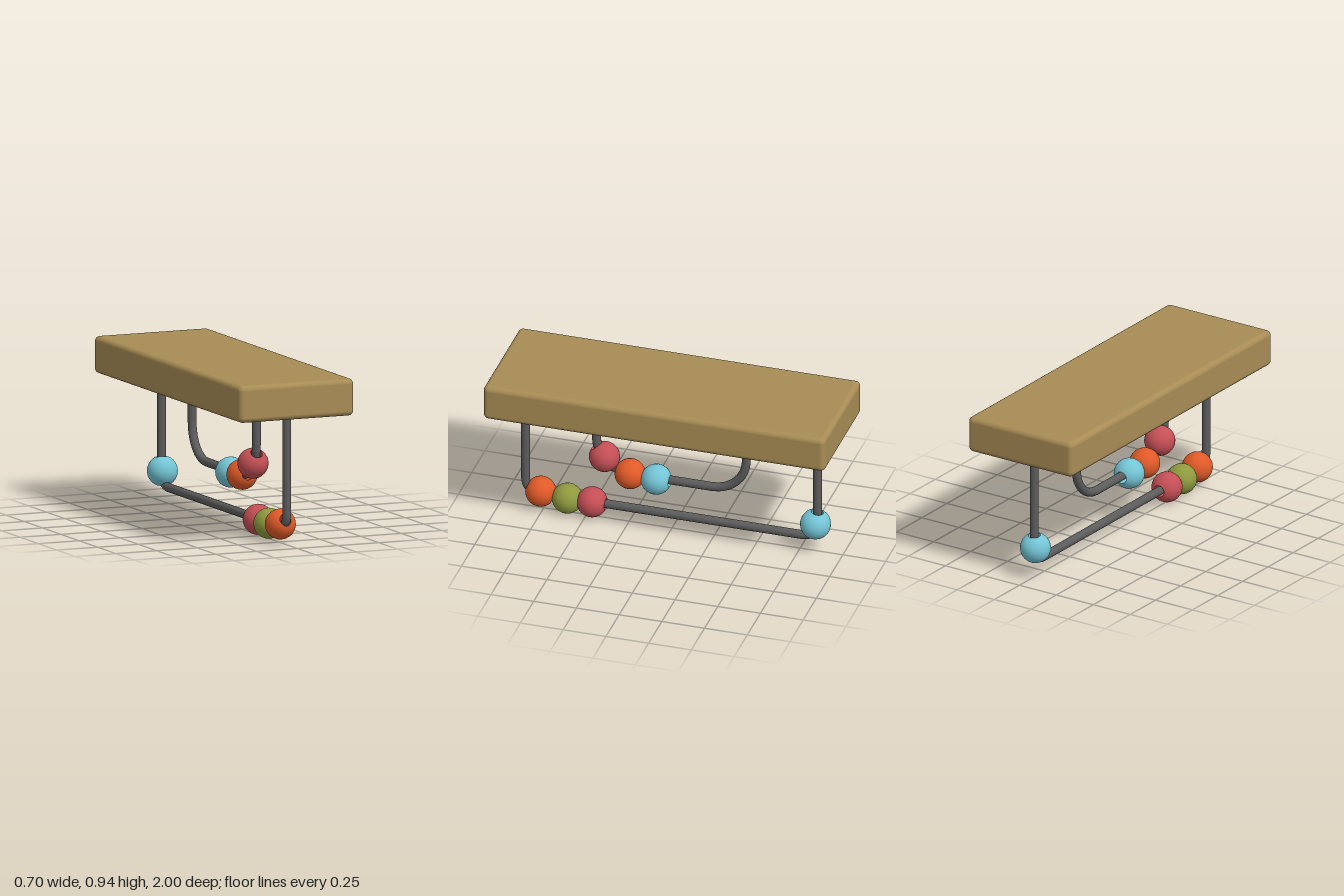
import * as THREE from 'three';
import { RoundedBoxGeometry } from 'three/addons/geometries/RoundedBoxGeometry.js';

const mat = (color) => new THREE.MeshStandardMaterial({ color });
const wood = mat(0xa88c55), steel = mat(0x5c5c5c);
const red = mat(0xc44f55), orange = mat(0xe05a28), olive = mat(0x8f9a3e), cyan = mat(0x74c5d6);

function add(parent, name, geometry, material) {
  const mesh = new THREE.Mesh(geometry, material);
  mesh.name = name;
  parent.add(mesh);
  return mesh;
}

// U-shaped rod in the x = 0 plane, hanging from the board with rounded corners
function rodGeometry(zFront, zBack, yTop, yLow, r) {
  const v = (y, z) => new THREE.Vector3(0, y, z);
  const points = [v(yTop, zFront)];
  const steps = 8;
  for (let i = 0; i <= steps; i++) {
    const a = (i / steps) * Math.PI / 2;
    points.push(v(yLow + r - r * Math.sin(a), zFront - r + r * Math.cos(a)));
  }
  for (let i = 0; i <= steps; i++) {
    const a = (i / steps) * Math.PI / 2;
    points.push(v(yLow + r - r * Math.cos(a), zBack + r - r * Math.sin(a)));
  }
  points.push(v(yTop, zBack));
  const path = new THREE.CurvePath();
  for (let i = 1; i < points.length; i++) path.add(new THREE.LineCurve3(points[i - 1], points[i]));
  return new THREE.TubeGeometry(path, 160, 0.025, 14);
}

// Ball with a drilled hole along its y axis
function beadGeometry(radius, hole) {
  const start = Math.asin(hole / radius);
  const profile = [];
  for (let i = 0; i <= 16; i++) {
    const a = Math.PI - start - (i / 16) * (Math.PI - 2 * start);
    profile.push(new THREE.Vector2(radius * Math.sin(a), -radius * Math.cos(a)).multiply(new THREE.Vector2(1, -1)));
  }
  return new THREE.LatheGeometry(profile, 24);
}

export function createModel() {
  const model = new THREE.Group();
  model.name = 'beadRodToy';

  // Board
  add(model, 'board', new RoundedBoxGeometry(0.705, 0.21, 2, 4, 0.03), wood).position.y = 0.838;

  // Rods
  add(model, 'outerRod', rodGeometry(0.857, -0.852, 0.76, 0.095, 0.085), steel);
  add(model, 'innerRod', rodGeometry(0.442, -0.435, 0.76, 0.315, 0.2), steel);

  // Beads: name, material, y, z, tilt from upright in degrees
  const ball = beadGeometry(0.087, 0.034);
  const bore = new THREE.CylinderGeometry(0.034, 0.034, 0.16, 24, 1, true);
  const beads = [
    ['outerOrangeBead', orange, 0.11, 0.768, 65],
    ['outerOliveBead', olive, 0.092, 0.612, 90],
    ['outerRedBead', red, 0.093, 0.467, 90],
    ['outerCyanBead', cyan, 0.178, -0.84, -8],
    ['innerRedBead', red, 0.4, 0.395, 38],
    ['innerOrangeBead', orange, 0.315, 0.245, 80],
    ['innerCyanBead', cyan, 0.306, 0.092, 90],
  ];
  for (const [name, material, y, z, tilt] of beads) {
    const bead = new THREE.Group();
    bead.name = name;
    bead.position.set(0, y, z);
    bead.rotation.x = THREE.MathUtils.degToRad(tilt);
    add(bead, 'ball', ball, material);
    const inside = material.clone();
    inside.side = THREE.BackSide;
    add(bead, 'bore', bore, inside);
    model.add(bead);
  }
  return model;
}
